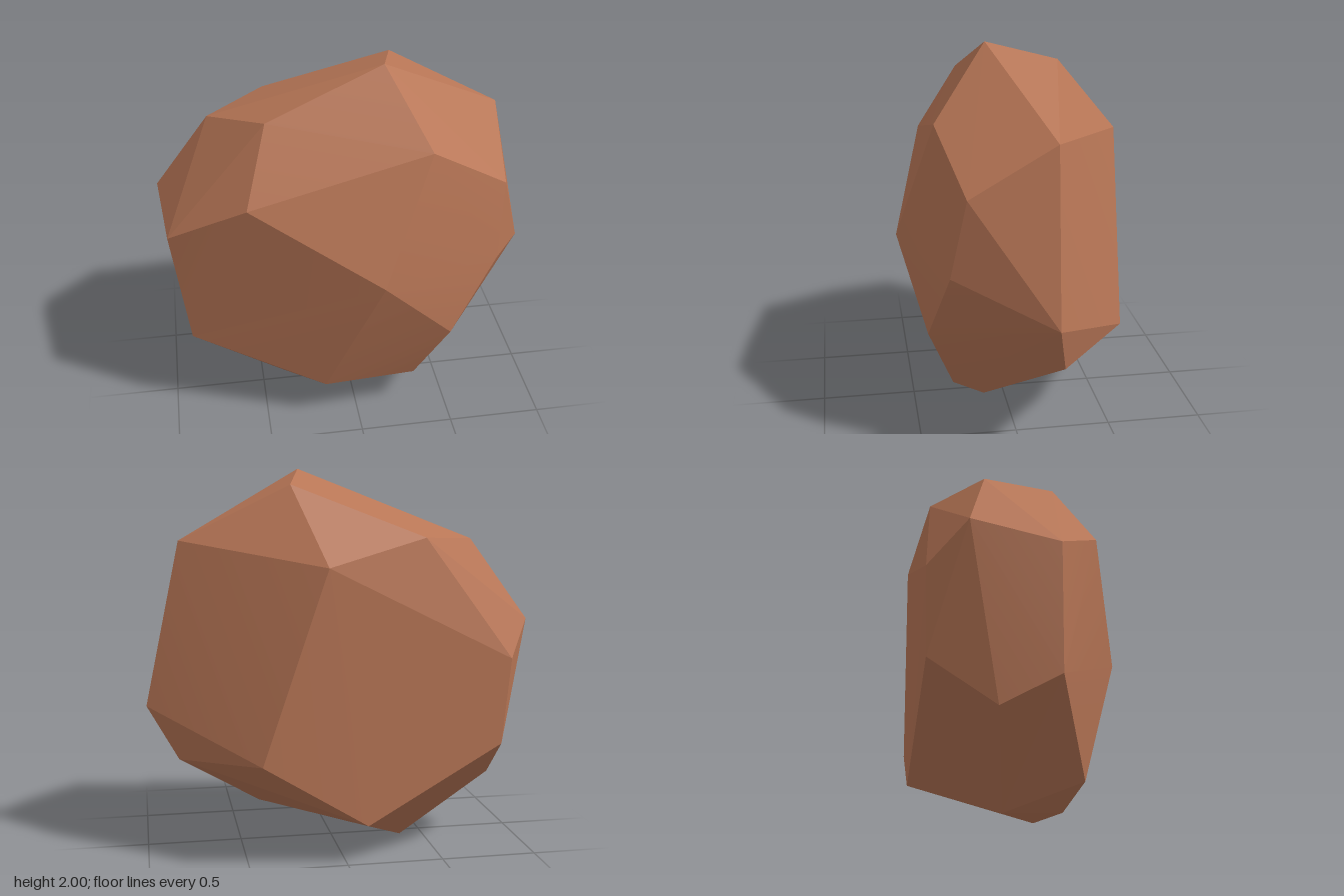
import * as THREE from 'three';
import { ConvexGeometry } from 'three/addons/geometries/ConvexGeometry.js';
import { toCreasedNormals } from 'three/addons/utils/BufferGeometryUtils.js';

// Corners of the faceted boulder, grouped by region
const crown = [
  [0.16, 2.0, 0.11], [0.25, 1.92, -0.24], [0.81, 1.64, -0.14], [0.36, 1.64, 0.39],
  [-0.44, 1.765, 0.19], [-0.71, 1.64, -0.19],
];
const frontSide = [
  [0.77, 1.38, 0.28], [0.73, 0.98, 0.36], [0.48, 0.585, 0.45], [0.1, 0.99, 0.575],
  [-0.56, 1.4, 0.395], [-0.96, 1.14, 0.165], [-0.88, 0.505, 0.17],
];
const backSide = [
  [0.99, 0.79, -0.125], [0.83, 0.515, -0.185], [0.44, 0.55, -0.56], [0.11, 1.525, -0.575],
  [-0.4, 1.66, -0.46], [-0.86, 1.04, -0.465], [-0.82, 0.59, -0.45], [-1.0, 1.22, -0.27],
];
const foot = [
  [0.32, 0.215, 0.31], [0.38, 0.17, 0.155], [-0.18, 0.23, 0.36],
  [-0.375, 0.0, -0.07], [-0.1, 0.21, -0.525], [-0.855, 0.35, -0.12],
];

export function createModel() {
  const group = new THREE.Group();
  group.name = 'boulder';

  const stone = new THREE.MeshStandardMaterial({ color: 0xb87656 });
  stone.name = 'reddish brown stone';

  // Convex hull of the corners; only almost flat joins are smoothed
  const corners = [...crown, ...frontSide, ...backSide, ...foot]
    .map((p) => new THREE.Vector3(...p));
  const rock = new THREE.Mesh(toCreasedNormals(new ConvexGeometry(corners), 0.17), stone);
  rock.name = 'rock';
  group.add(rock);
  return group;
}
